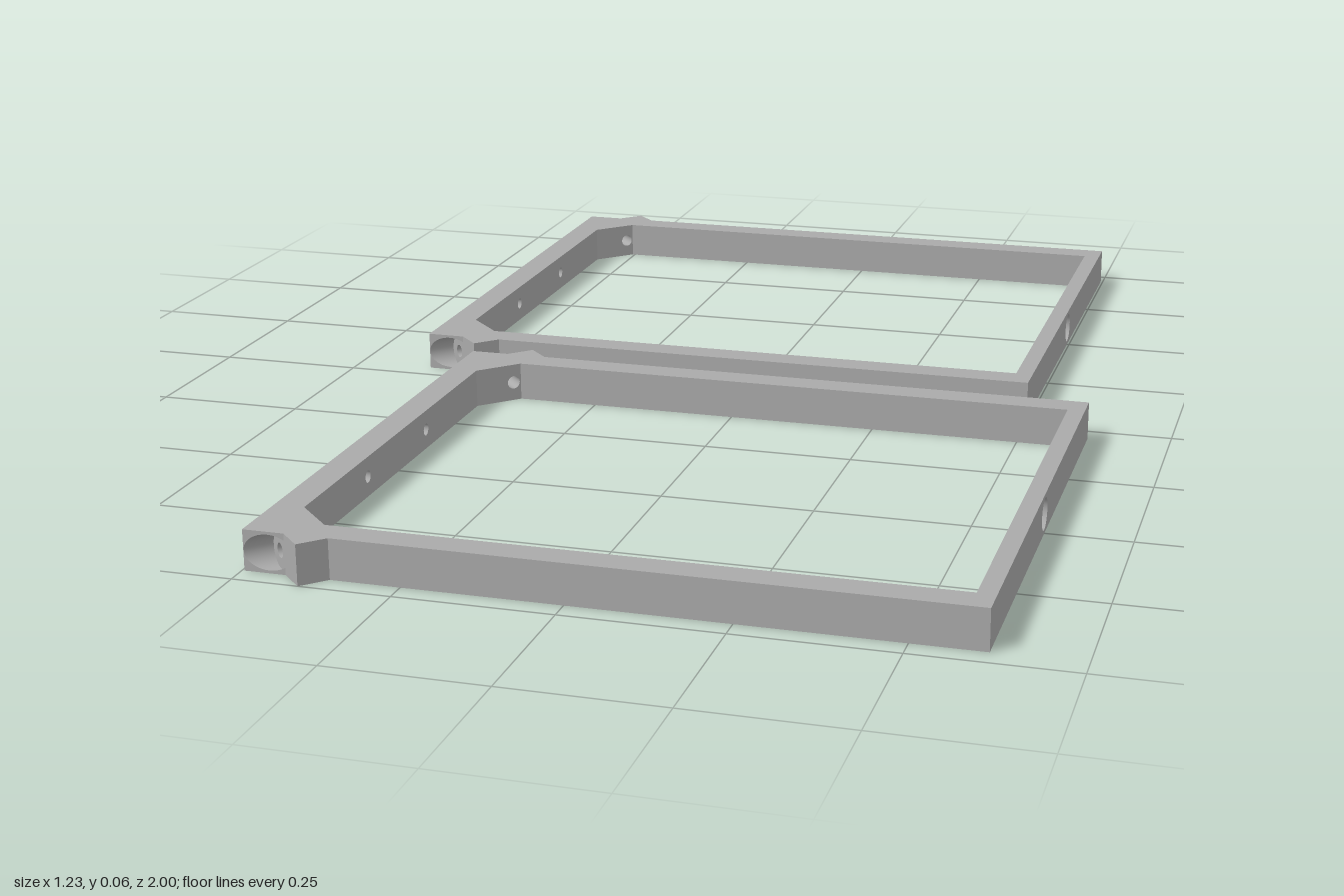
import * as THREE from 'three';
import { mergeGeometries } from 'three/addons/utils/BufferGeometryUtils.js';

const H = 0.065, MID = H / 2;             // frame height and hole level
const HX = 0.5545, HZ = 0.4625;           // outer half sizes
const XL = -0.506, XR = 0.5255, ZI = 0.4135; // inner opening
const SEAT = [-0.5015, 0.4495];           // centre of the slanted screw seat
const APEX = [-0.4535, 0.4975];           // tip of the corner lug
const LUG_A = [-0.4885, HZ], LUG_B = [-0.4185, HZ];
const CH_A = [-0.446, ZI], CH_B = [XL, 0.3535]; // inner corner chamfer
const BORE = 0.028, SCREW = 0.0115, PIN = 0.01, PIN_Z = 0.12;

const V = (p, y = 0) => new THREE.Vector3(p[0], y, p[1]);

// Upright flat plate from a to b; it faces the left of the path seen from below
function plate(a, b, shape) {
  const x = V(b).sub(V(a)).normalize(), y = new THREE.Vector3(0, 1, 0);
  const m = new THREE.Matrix4().makeBasis(x, y, x.clone().cross(y)).setPosition(V(a));
  return new THREE.ShapeGeometry(shape, 32).applyMatrix4(m);
}

function polygon(points) {
  return new THREE.Shape(points.map(p => new THREE.Vector2(p[0], p[1])));
}

function addHole(shape, s, r) {
  const hole = new THREE.Path();
  hole.absarc(s, MID, r, 0, Math.PI * 2, true);
  shape.holes.push(hole);
  return shape;
}

// Rectangular wall with an optional round hole at distance s
function wall(a, b, s, r) {
  const w = V(a).distanceTo(V(b));
  const shape = polygon([[0, 0], [w, 0], [w, H], [0, H]]);
  return plate(a, b, r ? addHole(shape, s, r) : shape);
}

function swapWinding(g) {
  const idx = g.index.array;
  for (let i = 0; i < idx.length; i += 3) [idx[i], idx[i + 1]] = [idx[i + 1], idx[i]];
  return g;
}

// Smooth lining of a horizontal hole, facing its axis
function lining(a, b, r) {
  const d = V(b).sub(V(a)), len = d.length();
  const g = new THREE.CylinderGeometry(r, r, len, 48, 1, true).translate(0, len / 2, 0);
  g.applyQuaternion(new THREE.Quaternion().setFromUnitVectors(new THREE.Vector3(0, 1, 0), d.normalize()));
  g.translate(a[0], MID, a[1]);
  const n = g.attributes.normal;
  for (let i = 0; i < n.count; i++) n.setXYZ(i, -n.getX(i), -n.getY(i), -n.getZ(i));
  return swapWinding(g);
}

// Slanted bore running from the screw seat out to the long side face
function boreLining() {
  const g = lining(SEAT, [SEAT[0] - 0.1, SEAT[1] + 0.1], BORE);
  const p = g.attributes.position, row = p.count / 2;
  for (let i = 0; i < row; i++) {
    const x = p.getX(i + row), z = p.getZ(i + row), t = Math.max(0, HZ - z);
    p.setXYZ(i, x - t, p.getY(i + row), z + t);
  }
  return g;
}

// Arc running from the upper right, around the left, to the lower right
function leftArc(cx, rx, ry, theta) {
  const pts = [];
  for (let i = 0; i <= 36; i++) {
    const a = theta + (2 * Math.PI - 2 * theta) * i / 36;
    pts.push([cx + rx * Math.cos(a), MID + ry * Math.sin(a)]);
  }
  return pts;
}

// Everything on one side of a frame's middle line
function halfFrame() {
  const outline = [[-HX, 0], [-HX, HZ], LUG_A, APEX, LUG_B, [HX, HZ], [HX, 0],
    [XR, 0], [XR, ZI], CH_A, CH_B, [XL, 0]];
  const top = new THREE.ShapeGeometry(polygon(outline.map(p => [p[0], -p[1]])))
    .rotateX(-Math.PI / 2).translate(0, H, 0);
  const bottom = new THREE.ShapeGeometry(polygon(outline)).rotateX(Math.PI / 2);

  // Corner face cut open by the slanted bore
  const start = (LUG_A[0] - SEAT[0]) * Math.SQRT2;
  const theta = Math.acos(start / BORE);
  const w = LUG_A[0] + HX;
  const exit = SEAT[0] - (HZ - SEAT[1]) + HX;
  const cornerFace = polygon([[0, 0], [w, 0],
    ...leftArc(exit, BORE * Math.SQRT2, BORE, theta).reverse(), [w, H], [0, H]]);

  // Screw seat with its lug face
  const end = V(SEAT).distanceTo(V(APEX));
  const seat = addHole(polygon([[end, 0], [end, H], [start, H],
    ...leftArc(0, BORE, BORE, theta), [start, 0]]), 0, SCREW);

  // Where the screw axis meets the chamfer
  const k = ((SEAT[1] - SEAT[0]) - (CH_A[1] - CH_A[0])) / 2;
  const inner = [SEAT[0] + k, SEAT[1] - k];

  return mergeGeometries([
    top, bottom,
    wall([-HX, 0], [-HX, HZ], PIN_Z, PIN),
    plate([-HX, HZ], LUG_A, cornerFace),
    plate(SEAT, APEX, seat),
    wall(APEX, LUG_B),
    wall(LUG_B, [HX, HZ]),
    wall([XR, ZI], CH_A),
    wall(CH_A, CH_B, V(CH_A).distanceTo(V(inner)), SCREW),
    wall(CH_B, [XL, 0], CH_B[1] - PIN_Z, PIN),
    boreLining(),
    lining(SEAT, inner, SCREW),
    lining([-HX, PIN_Z], [XL, PIN_Z], PIN),
  ]);
}

// End bar faces with a counterbored hole in the middle
function endBar() {
  const floor = HX - 0.016, big = 0.026, small = 0.013;
  return mergeGeometries([
    wall([HX, HZ], [HX, -HZ], HZ, big),
    wall([XR, -ZI], [XR, ZI], ZI, small),
    new THREE.RingGeometry(small, big, 48).rotateY(Math.PI / 2).translate(floor, MID, 0),
    lining([floor, 0], [HX, 0], big),
    lining([XR, 0], [floor, 0], small),
  ]);
}

export function createModel() {
  const model = new THREE.Group();
  model.name = 'framePair';
  const grey = new THREE.MeshStandardMaterial({ color: 0xaaaaaa });
  grey.name = 'grey';

  const half = halfFrame();
  const mirrored = swapWinding(half.clone().scale(1, 1, -1));
  const parts = { frontHalf: half, backHalf: mirrored, endBar: endBar() };

  // Two equal frames, shifted sideways against each other
  for (const [name, s] of [['frontFrame', 1], ['backFrame', -1]]) {
    const frame = new THREE.Group();
    frame.name = name;
    for (const [part, geometry] of Object.entries(parts)) {
      const mesh = new THREE.Mesh(geometry, grey);
      mesh.name = part;
      frame.add(mesh);
    }
    frame.position.set(0.0585 * s, 0, 0.5025 * s);
    model.add(frame);
  }
  return model;
}
